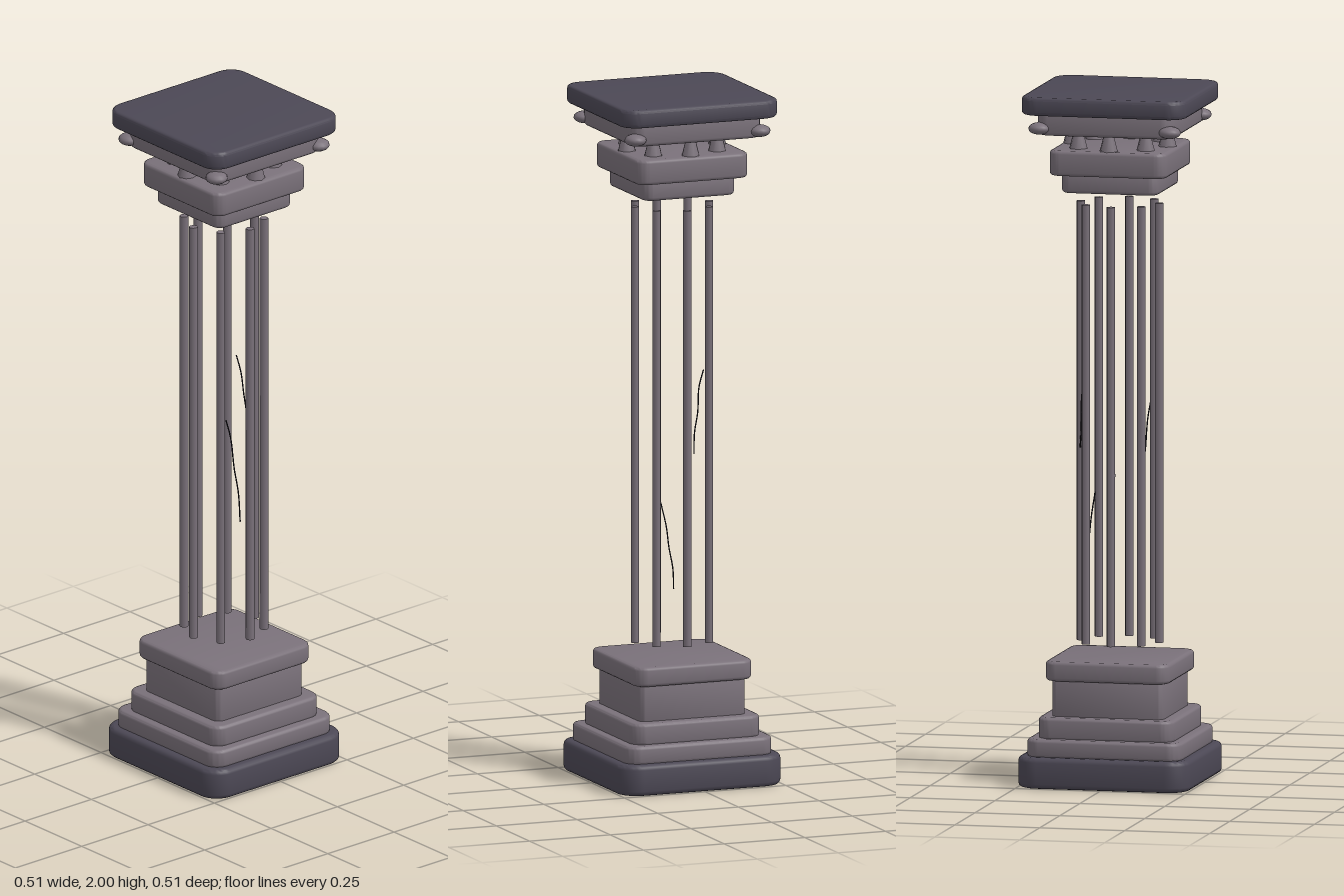
import * as THREE from 'three';
import { toCreasedNormals } from 'three/addons/utils/BufferGeometryUtils.js';

const mat = (name, color) => {
  const m = new THREE.MeshStandardMaterial({ color });
  m.name = name;
  return m;
};

// Square slab with rounded corners and softened top and bottom edges
function slabGeometry(half, y0, y1, corner, bevel) {
  const h = half - bevel, r = corner - bevel;
  const s = new THREE.Shape();
  s.absarc(h - r, h - r, r, 0, Math.PI / 2);
  s.absarc(-h + r, h - r, r, Math.PI / 2, Math.PI);
  s.absarc(-h + r, -h + r, r, Math.PI, Math.PI * 1.5);
  s.absarc(h - r, -h + r, r, Math.PI * 1.5, Math.PI * 2);
  const g = new THREE.ExtrudeGeometry(s, {
    depth: y1 - y0 - 2 * bevel, bevelEnabled: true, bevelSize: bevel,
    bevelThickness: bevel, bevelSegments: 3, curveSegments: 6,
  });
  g.rotateX(-Math.PI / 2);
  g.translate(0, y0 + bevel, 0);
  return toCreasedNormals(g, 0.7);
}

export function createModel() {
  const root = new THREE.Group();
  root.name = 'column';
  const dark = mat('darkStone', 0x4c4855);
  const stone = mat('stone', 0x7a717a);
  const black = mat('crackBlack', 0x1c1a20);

  const add = (name, geometry, material, parent = root) => {
    const m = new THREE.Mesh(geometry, material);
    m.name = name;
    parent.add(m);
    return m;
  };

  // Pedestal and capital slabs: name, half width, bottom, top, corner radius, bevel
  const slabs = [
    ['plinth', 0.253, 0, 0.09, 0.065, 0.014, dark],
    ['lowerStep', 0.228, 0.085, 0.14, 0.045, 0.01, stone],
    ['upperStep', 0.2, 0.135, 0.2, 0.04, 0.01, stone],
    ['pedestalBlock', 0.165, 0.19, 0.31, 0.025, 0.005, stone],
    ['pedestalCap', 0.183, 0.303, 0.36, 0.04, 0.01, stone],
    ['capitalNeck', 0.143, 1.712, 1.775, 0.03, 0.01, stone],
    ['capitalBlock', 0.173, 1.765, 1.838, 0.035, 0.01, stone],
    ['abacus', 0.202, 1.885, 1.955, 0.04, 0.01, stone],
    ['topSlab', 0.243, 1.947, 2, 0.055, 0.01, dark],
  ];
  for (const [name, half, y0, y1, corner, bevel, material] of slabs) {
    add(name, slabGeometry(half, y0, y1, corner, bevel), material);
  }

  // Ring of eight slender rods with a leaf above each one
  const rods = new THREE.Group();
  rods.name = 'shaftRods';
  const leaves = new THREE.Group();
  leaves.name = 'capitalLeaves';
  root.add(rods, leaves);
  const rodGeo = new THREE.CylinderGeometry(0.0125, 0.0125, 1.272, 8);
  const leafGeo = new THREE.CylinderGeometry(0.012, 0.03, 0.07, 8);
  for (let i = 0; i < 8; i++) {
    const a = (i * Math.PI) / 4;
    const c = Math.cos(a), s = Math.sin(a);
    add('rod', rodGeo, stone, rods).position.set(0.115 * c, 1.036, 0.115 * s);
    add('leaf', leafGeo, stone, leaves).position.set(0.14 * c, 1.86, 0.14 * s);
  }

  // Flattened scroll knobs under the abacus corners
  const knobGeo = new THREE.SphereGeometry(0.032, 14, 10);
  for (const x of [-1, 1]) for (const z of [-1, 1]) {
    const knob = add('cornerKnob', knobGeo, stone);
    knob.position.set(x * 0.192, 1.905, z * 0.192);
    knob.scale.y = 0.55;
  }

  // Hairline cracks winding down between the rods
  const cracks = [
    [[-0.07, 1.09, 0.09], [-0.058, 1.03, 0.098], [-0.05, 0.94, 0.103], [-0.038, 0.86, 0.108], [-0.033, 0.77, 0.11]],
    [[0.09, 0.82, 0.072], [0.098, 0.75, 0.058], [0.103, 0.69, 0.052], [0.108, 0.63, 0.042], [0.109, 0.57, 0.04]],
    [[0.096, 1.2, -0.058], [0.1, 1.15, -0.042], [0.106, 1.08, -0.036], [0.108, 1.02, -0.025], [0.112, 0.96, -0.022]],
    [[-0.012, 0.9, -0.113], [0, 0.82, -0.114], [0.004, 0.74, -0.114], [-0.004, 0.66, -0.114], [0, 0.58, -0.114]],
  ];
  for (const pts of cracks) {
    const curve = new THREE.CatmullRomCurve3(pts.map((p) => new THREE.Vector3(...p)));
    add('crack', new THREE.TubeGeometry(curve, 16, 0.002, 5), black);
  }

  return root;
}
